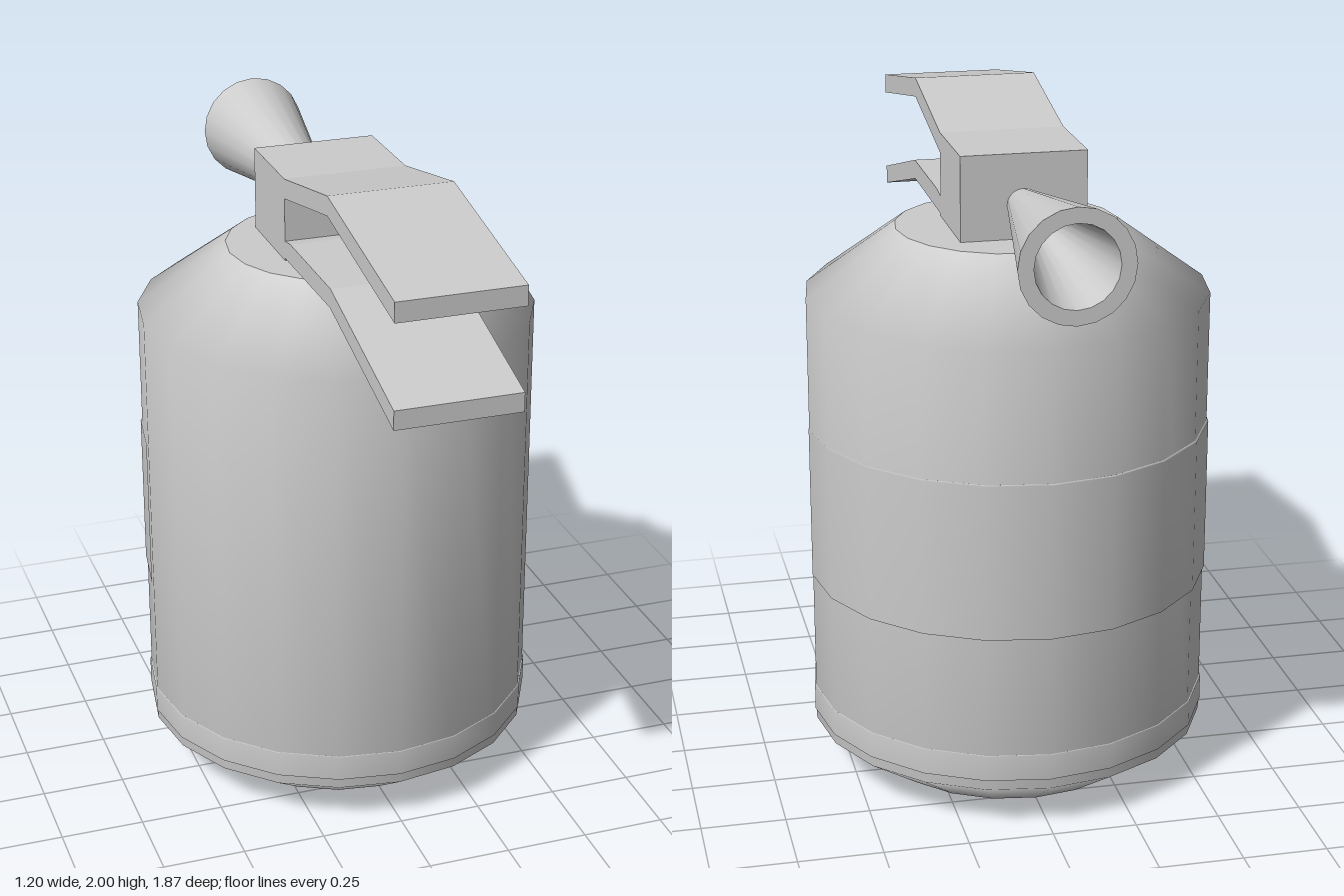
import * as THREE from 'three';

const material = new THREE.MeshStandardMaterial({ color: 0xcccccc });
const AXIS_Z = -0.115; // the tank sits slightly behind the centre

// Smooth surface of revolution; separate strips keep the edges between them sharp
function lathe(name, profile, segments = 20, start = 0, sweep = Math.PI * 2) {
  const points = profile.map(([r, y]) => new THREE.Vector2(r, y));
  const mesh = new THREE.Mesh(new THREE.LatheGeometry(points, segments, start, sweep), material);
  mesh.name = name;
  return mesh;
}

export function createModel() {
  const model = new THREE.Group();
  model.name = 'fireExtinguisher';

  // Tank: smooth shell with bevelled shoulders and flat ends
  const tank = new THREE.Group();
  tank.name = 'tank';
  tank.position.z = AXIS_Z;
  tank.add(
    lathe('tankShell', [[0.41, 0], [0.597, 0.13], [0.597, 1.475], [0.33, 1.67]]),
    lathe('tankTop', [[0.33, 1.67], [0, 1.67]]),
    lathe('tankBase', [[0, 0], [0.41, 0]]),
    lathe('baseBand', [[0.597, 0.16], [0.601, 0.161], [0.601, 0.239], [0.597, 0.24]])
  );

  // Label plate wrapped around the rear half, standing proud at the back
  const label = lathe('labelPlate',
    [[0.59, 0.61], [0.6, 0.611], [0.6, 1.079], [0.59, 1.08]], 10, Math.PI / 2, Math.PI);
  label.position.z = -0.008;
  tank.add(label);
  model.add(tank);

  // Valve block with carrying handle and squeeze lever, one profile as [z, y]
  const outline = [
    [-0.295, 1.66], [0, 1.66], [0, 1.677], [0.41, 1.68], [0.935, 1.535], [0.935, 1.592],
    [0.415, 1.738], [0.05, 1.738], [0, 1.73], [0, 1.86], [0.39, 1.942], [0.935, 1.838],
    [0.935, 1.897], [0.39, 2], [0, 1.92], [-0.295, 1.92],
  ];
  const shape = new THREE.Shape(outline.map(([z, y]) => new THREE.Vector2(z, y)));
  const valveGeometry = new THREE.ExtrudeGeometry(shape, { depth: 0.37, bevelEnabled: false });
  valveGeometry.rotateY(-Math.PI / 2);
  valveGeometry.translate(0.175, 0, 0);
  const valve = new THREE.Mesh(valveGeometry, material);
  valve.name = 'valveAndLevers';
  model.add(valve);

  // Hollow discharge horn pointing backwards
  const horn = new THREE.Group();
  horn.name = 'horn';
  horn.add(
    lathe('hornOutside', [[0.048, 0], [0.162, 0.64]]),
    lathe('hornRim', [[0.162, 0.64], [0.118, 0.64]]),
    lathe('hornInside', [[0.118, 0.64], [0.03, 0.12]]),
    lathe('hornThroat', [[0.03, 0.12], [0, 0.12]])
  );
  horn.rotation.x = -Math.PI / 2;
  horn.position.set(-0.008, 1.77, -0.295);
  model.add(horn);

  return model;
}
